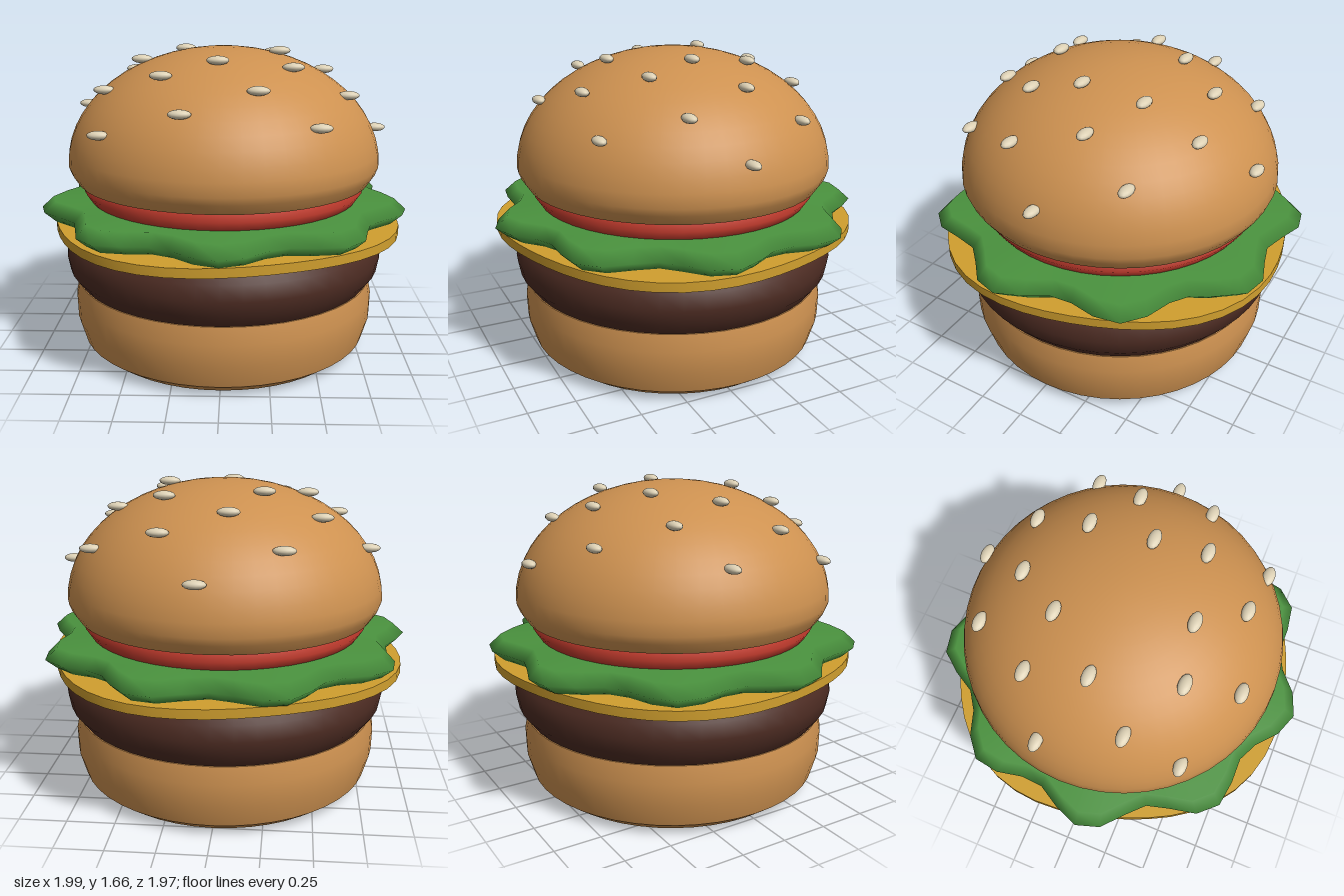
import * as THREE from 'three';
import { mergeVertices, toCreasedNormals } from 'three/addons/utils/BufferGeometryUtils.js';

const SEGMENTS = 48;

function material(name, color) {
  const m = new THREE.MeshStandardMaterial({ color });
  m.name = name;
  return m;
}

// Round layer turned from an outer profile [radius, y] listed bottom to top and
// capped at the axis; edge(angle) optionally scales the outline.
function layer(name, mat, profile, crease = 0.6, edge = null) {
  const points = [[0, profile[0][1]], ...profile];
  const top = profile[profile.length - 1];
  if (top[0] > 0) points.push([0, top[1]]);
  let geo = new THREE.LatheGeometry(points.map(([r, y]) => new THREE.Vector2(r, y)), SEGMENTS);
  if (edge) {
    const p = geo.attributes.position;
    for (let i = 0; i < p.count; i++) {
      const s = edge(Math.atan2(p.getX(i), p.getZ(i)));
      p.setX(i, p.getX(i) * s);
      p.setZ(i, p.getZ(i) * s);
    }
  }
  geo.deleteAttribute('uv');
  geo.deleteAttribute('normal');
  geo = mergeVertices(geo, 1e-4);
  if (crease) geo = toCreasedNormals(geo, crease);
  else geo.computeVertexNormals();
  const mesh = new THREE.Mesh(geo, mat);
  mesh.name = name;
  return mesh;
}

export function createModel() {
  const bun = material('toasted bun', 0xcd9150);
  const meat = material('grilled brown', 0x4c2b22);
  const cheese = material('cheese yellow', 0xd09f2e);
  const green = material('lettuce green', 0x4a923e);
  const red = material('tomato red', 0xc23b2d);
  const cream = material('sesame cream', 0xdcd0b4);

  const model = new THREE.Group();
  model.name = 'burger';
  const stack = new THREE.Group();
  stack.name = 'stack';
  stack.position.z = -0.03;
  model.add(stack);

  // Bottom bun and patty
  stack.add(layer('bottomBun', bun,
    [[0.72, 0], [0.8, 0.06], [0.835, 0.18], [0.838, 0.3], [0.82, 0.39]]));
  stack.add(layer('patty', meat,
    [[0.81, 0.385], [0.865, 0.46], [0.88, 0.54], [0.865, 0.62], [0.8, 0.69]]));

  // Cheese slice with four soft corners
  const corner = THREE.MathUtils.degToRad(63);
  stack.add(layer('cheeseSlice', cheese, [[0.955, 0.688], [0.955, 0.737]], 0.6,
    (a) => 1 + 0.03 * Math.cos(4 * (a - corner))));

  // Lettuce with nine ruffles
  stack.add(layer('lettuce', green, [[0.885, 0.738], [0.945, 0.793], [0.885, 0.85]], 0,
    (a) => 1 + 0.069 * Math.cos(9 * a)));

  // Tomato slice
  stack.add(layer('tomatoSlice', red,
    [[0.735, 0.845], [0.77, 0.898], [0.74, 0.95]], 1.2));

  // Domed top bun: a half ellipse above a tucked-in rim
  const rimY = 1.04, radius = 0.85, height = 0.62;
  const dome = [[0.8, 0.947], [0.835, 1.0]];
  for (let i = 0; i <= 14; i++) {
    const t = (i / 14) * Math.PI / 2;
    dome.push([i === 14 ? 0 : radius * Math.cos(t), rimY + height * Math.sin(t)]);
  }
  stack.add(layer('topBun', bun, dome));

  // Sesame seeds at [x, z], resting just above the dome
  const spots = [
    [0.07, -0.83], [-0.33, -0.66], [0.27, -0.61], [-0.06, -0.53], [0.64, -0.43],
    [-0.51, -0.33], [-0.22, -0.29], [0.28, -0.32], [-0.76, -0.17], [0.55, -0.16],
    [0.83, -0.04], [-0.44, -0.02], [0.3, 0.01], [-0.61, 0.22], [0.65, 0.2],
    [0.36, 0.27], [-0.02, 0.34], [-0.3, 0.4], [-0.6, 0.51], [0.18, 0.55],
    [0.48, 0.58], [-0.19, 0.66],
  ];
  const seedGeo = new THREE.SphereGeometry(1, 14, 10).scale(0.057, 0.023, 0.033);
  const seeds = new THREE.Group();
  seeds.name = 'sesameSeeds';
  for (const [x, worldZ] of spots) {
    const z = worldZ + 0.03;
    const k = Math.min(1, Math.hypot(x, z) / (radius + 0.015));
    const seed = new THREE.Mesh(seedGeo, cream);
    seed.name = 'sesameSeed';
    seed.position.set(x, rimY + (height + 0.02) * Math.sqrt(1 - k * k), z);
    seeds.add(seed);
  }
  stack.add(seeds);

  return model;
}
